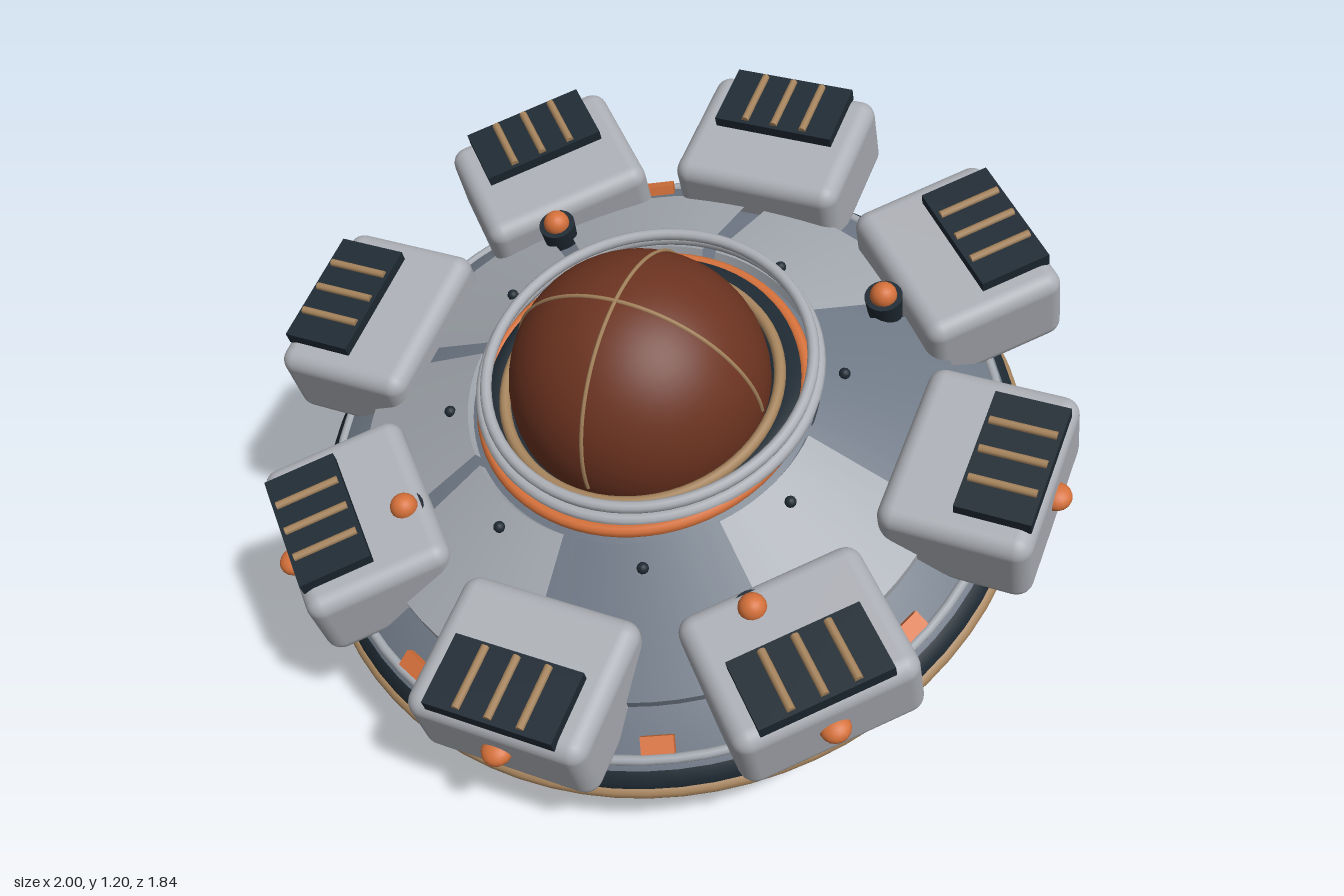
import * as THREE from 'three';
import { toCreasedNormals } from 'three/addons/utils/BufferGeometryUtils.js';
import { RoundedBoxGeometry } from 'three/addons/geometries/RoundedBoxGeometry.js';

const mat = (name, color, side = THREE.FrontSide) => {
  const m = new THREE.MeshStandardMaterial({ color, side });
  m.name = name;
  return m;
};

export function createModel() {
  const hullBlue = mat('hull slate', 0x6d7784, THREE.DoubleSide);
  const panelGrey = mat('panel grey', 0xa3a8af, THREE.DoubleSide);
  const podGrey = mat('pod grey', 0xabaeb4);
  const dark = mat('dark trim', 0x1f2a33, THREE.DoubleSide);
  const tan = mat('tan trim', 0xa5835c);
  const orange = mat('orange light', 0xd4703a);
  const rust = mat('rust glass', 0x6c3320);

  const model = new THREE.Group();
  model.name = 'tiltedSaucer';
  const saucer = new THREE.Group();
  saucer.name = 'saucer';
  saucer.rotation.x = THREE.MathUtils.degToRad(24);
  saucer.position.set(0, 0.487, -0.015);
  model.add(saucer);

  const add = (parent, name, geo, material, x = 0, y = 0, z = 0) => {
    const mesh = new THREE.Mesh(geo, material);
    mesh.name = name;
    mesh.position.set(x, y, z);
    parent.add(mesh);
    return mesh;
  };
  const lathe = (pts, seg = 72, start = 0, len = Math.PI * 2) =>
    new THREE.LatheGeometry(pts.map(([r, y]) => new THREE.Vector2(r, y)), seg, start, len);
  const ring = (name, r, tube, y, material, z = 0) => {
    const geo = new THREE.TorusGeometry(r, tube, 10, 72).rotateX(Math.PI / 2);
    return add(saucer, name, geo, material, 0, y, z);
  };
  // Groups spaced evenly about the saucer axis, each facing outward along +z
  const around = (n, name, offset, build, z = 0) => {
    for (let i = 0; i < n; i++) {
      const g = new THREE.Group();
      g.name = name;
      g.rotation.y = offset + (i * Math.PI * 2) / n;
      g.position.z = z;
      saucer.add(g);
      build(g, i);
    }
  };

  // Hull: lower bowl, rim and sloped deck
  add(saucer, 'lowerHull', lathe([[0, -0.26], [0.3, -0.258], [0.45, -0.235], [0.6, -0.19],
    [0.72, -0.125], [0.82, -0.055], [0.868, -0.005]]), hullBlue);
  add(saucer, 'deck', lathe([[0.86, 0.035], [0.83, 0.075], [0.72, 0.143], [0.395, 0.32], [0.3, 0.32]]), hullBlue);
  ring('rimTrim', 0.865, 0.017, 0, tan);
  add(saucer, 'rimBand', lathe([[0.868, 0.005], [0.866, 0.04], [0.84, 0.06]]), dark);
  ring('deckEdge', 0.825, 0.012, 0.078, panelGrey);

  // Raised deck panels with gaps between them, two of them slate
  const gap = 0.08;
  const panelGeo = toCreasedNormals(lathe([[0.725, 0.135], [0.725, 0.16], [0.42, 0.33], [0.41, 0.31]],
    10, -Math.PI / 8 + gap / 2, Math.PI / 4 - gap), 0.5);
  around(8, 'deckPanel', Math.PI / 8, (g, i) => {
    add(g, 'panel', panelGeo, i === 0 || i === 2 ? hullBlue : panelGrey);
    add(g, 'panelStud', new THREE.SphereGeometry(0.014, 10, 8), dark, 0, 0.307, 0.47);
    const light = add(g, 'deckLight', new THREE.BoxGeometry(0.075, 0.03, 0.04), orange, 0, 0.103, 0.8);
    light.rotation.x = 0.53;
  });

  // Collar around the dome
  ring('collarGlow', 0.383, 0.016, 0.325, orange);
  add(saucer, 'collarBand', lathe([[0.375, 0.31], [0.372, 0.345], [0.33, 0.345], [0.3, 0.33]]), dark);
  ring('domeTrim', 0.325, 0.014, 0.35, tan);
  ring('collarOuterRing', 0.4, 0.016, 0.338, podGrey, -0.04);
  ring('collarInnerRing', 0.388, 0.014, 0.362, podGrey, -0.045);

  // Dome with two crossing ribs
  const domeY = 0.36, domeR = 0.305;
  add(saucer, 'dome', new THREE.SphereGeometry(domeR, 48, 32), rust, 0, domeY);
  for (const turn of [0, Math.PI / 2]) {
    const rib = add(saucer, 'domeRib', new THREE.TorusGeometry(domeR, 0.005, 6, 48, Math.PI), tan, 0, domeY);
    rib.rotation.y = turn;
  }

  // Eight pods with vent pads and end lamps
  const podGeo = new RoundedBoxGeometry(0.44, 0.215, 0.355, 4, 0.04);
  around(8, 'pod', 0, (g) => {
    add(g, 'podBody', podGeo, podGrey, 0, 0.172, 0.787);
    add(g, 'ventPad', new THREE.BoxGeometry(0.315, 0.035, 0.175), dark, 0, 0.29, 0.866);
    for (const x of [-0.078, 0, 0.078]) {
      const bar = add(g, 'ventBar', new THREE.CylinderGeometry(0.01, 0.01, 0.155, 8), tan, x, 0.309, 0.866);
      bar.rotation.x = Math.PI / 2;
    }
    const lamp = add(g, 'podLamp', new THREE.SphereGeometry(0.036, 16, 12), orange, 0, 0.185, 0.964);
    lamp.scale.y = 0.7;
  }, -0.07);

  // Four diagonal beacons standing on the deck
  around(4, 'beacon', Math.PI / 4, (g) => {
    add(g, 'beaconBase', new THREE.CylinderGeometry(0.046, 0.04, 0.08, 20), dark, 0, 0.235, 0.62);
    add(g, 'beaconLamp', new THREE.SphereGeometry(0.033, 16, 12), orange, 0, 0.278, 0.62);
  });

  // Underside bulbs with glowing tips
  around(8, 'landingBulb', 0.213, (g) => {
    add(g, 'bulb', new THREE.SphereGeometry(0.073, 16, 12), hullBlue, 0, -0.12, 0.755);
    add(g, 'bulbCollar', new THREE.CylinderGeometry(0.043, 0.043, 0.022, 20), orange, 0, -0.178, 0.755);
    const tip = add(g, 'bulbTip', new THREE.SphereGeometry(0.033, 16, 10), orange, 0, -0.188, 0.755);
    tip.scale.y = 0.6;
  });

  // Underside rings, engine dome and radial vanes
  ring('bellyGlow', 0.605, 0.02, -0.19, orange);
  add(saucer, 'engineDisc', lathe([[0.2, -0.3], [0.3, -0.29], [0.39, -0.262], [0.4, -0.24]]), dark);
  ring('engineTrim', 0.288, 0.02, -0.295, tan);
  ring('engineGlow', 0.222, 0.024, -0.318, orange);
  const engine = add(saucer, 'engineDome', new THREE.SphereGeometry(0.205, 36, 20), rust, 0, -0.315);
  engine.scale.y = 0.5;
  around(12, 'vane', 0, (g, i) => {
    add(g, 'vaneBar', new THREE.BoxGeometry(0.028, 0.03, 0.19), i % 2 ? dark : podGrey, 0, -0.26, 0.425);
  });

  return model;
}
